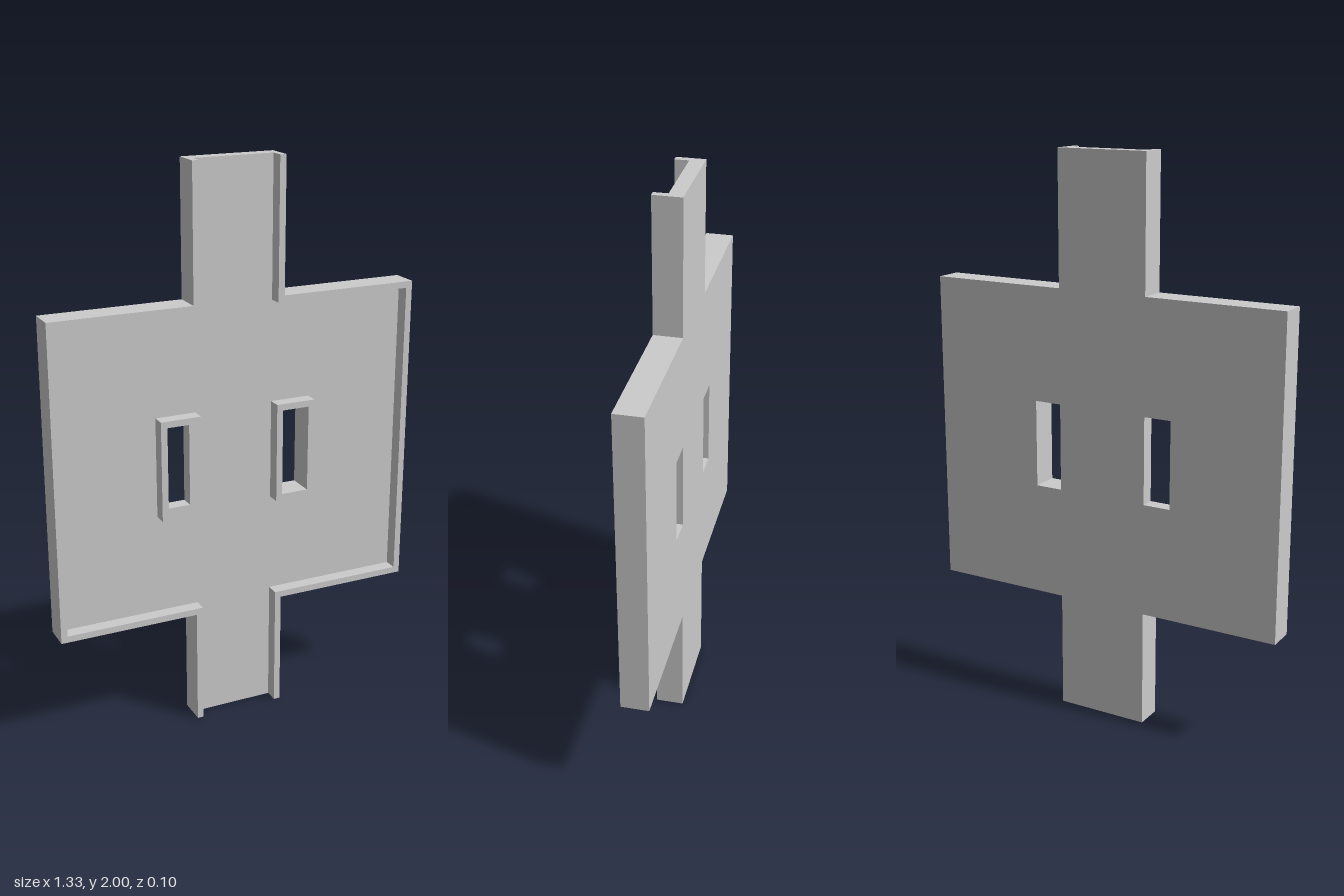
import * as THREE from 'three';

const FLOOR = 0.05, RIM = 0.048, WALL = 0.023;
const BODY_X = 0.665, STEM_X = 0.166, BODY_Y0 = 0.418, BODY_Y1 = 1.535, TOP = 2;
const WINDOW = { x0: 0.166, x1: 0.265, y0: 0.82, y1: 1.13 };

const material = new THREE.MeshStandardMaterial({ color: 0xcccccc, flatShading: true });

const points = (list, side = 1) => list.map(([x, y]) => new THREE.Vector2(x * side, y));

// Rectangle of the window, grown outwards by a margin
function windowCorners(margin, side) {
  const { x0, x1, y0, y1 } = WINDOW;
  return points([
    [x0 - margin, y0 - margin], [x1 + margin, y0 - margin],
    [x1 + margin, y1 + margin], [x0 - margin, y1 + margin],
  ], side);
}

function extrude(name, shape, z, depth) {
  const geometry = new THREE.ExtrudeGeometry(shape, { depth, bevelEnabled: false });
  geometry.translate(0, 0, z);
  const mesh = new THREE.Mesh(geometry, material);
  mesh.name = name;
  return mesh;
}

export function createModel() {
  const group = new THREE.Group();
  group.name = 'crossPanel';

  // Floor plate: square body with a stem above and below, pierced by two windows
  const half = [
    [STEM_X, 0], [STEM_X, BODY_Y0], [BODY_X, BODY_Y0],
    [BODY_X, BODY_Y1], [STEM_X, BODY_Y1], [STEM_X, TOP],
  ];
  const floor = new THREE.Shape([...points(half), ...points(half, -1).reverse()]);
  for (const side of [1, -1]) floor.holes.push(new THREE.Path(windowCorners(0, side)));
  group.add(extrude('floorPlate', floor, -FLOOR, FLOOR));

  // Same outline, inset by the wall thickness
  const inner = [
    [STEM_X - WALL, 0], [STEM_X - WALL, BODY_Y0 + WALL], [BODY_X - WALL, BODY_Y0 + WALL],
    [BODY_X - WALL, BODY_Y1 - WALL], [STEM_X - WALL, BODY_Y1 - WALL], [STEM_X - WALL, TOP],
  ];

  for (const side of [1, -1]) {
    const label = side > 0 ? 'left' : 'right';

    // Raised rim along the edge, open at the stem ends
    const rim = new THREE.Shape(points([...half, ...inner.slice().reverse()], side));
    group.add(extrude(label + 'Rim', rim, 0, RIM));

    // Raised frame around the window
    const frame = new THREE.Shape(windowCorners(WALL, side));
    frame.holes.push(new THREE.Path(windowCorners(0, side)));
    group.add(extrude(label + 'WindowFrame', frame, 0, RIM));
  }
  return group;
}
